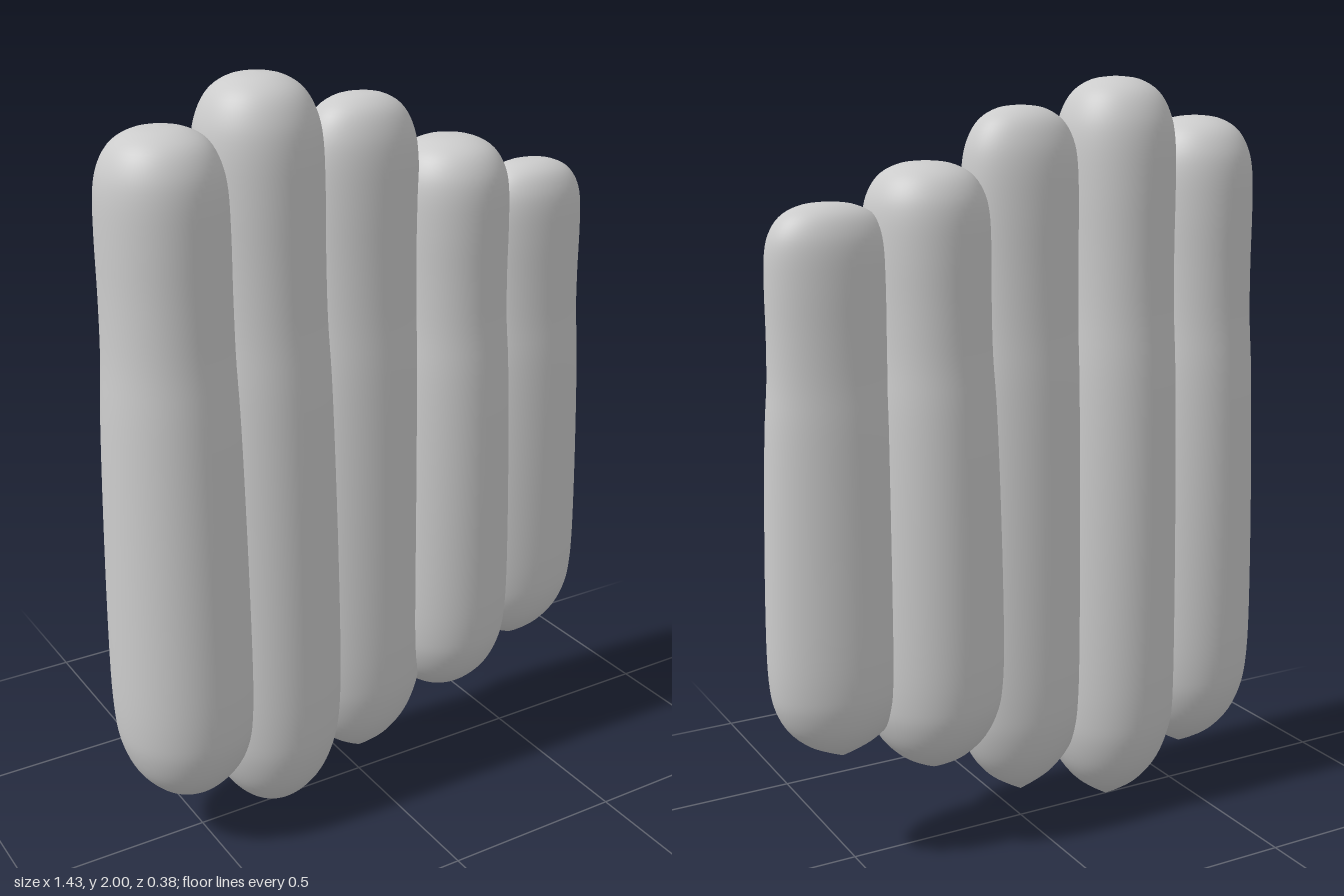
import * as THREE from 'three';

// Shared column outline: radius and fraction of the height, bottom tip to rounded top
const PROFILE = [
  [0, 0], [0.05, 0.016], [0.1, 0.036], [0.145, 0.067], [0.174, 0.107], [0.186, 0.15],
  [0.19, 0.22], [0.187, 0.35], [0.18, 0.5], [0.172, 0.62], [0.163, 0.7], [0.16, 0.78],
  [0.16, 0.86], [0.156, 0.92], [0.141, 0.955], [0.11, 0.981], [0.06, 0.996], [0, 1],
];

// Centre x, bottom y, top y, depth relative to width
const COLUMNS = [
  { name: 'outerRightColumn', x: -0.53, bottom: 0.11, top: 1.9, depth: 1 },
  { name: 'tallestColumn', x: -0.28, bottom: 0, top: 2, depth: 1 },
  { name: 'middleColumn', x: 0, bottom: 0.08, top: 1.93, depth: 0.73 },
  { name: 'innerLeftColumn', x: 0.265, bottom: 0.205, top: 1.8, depth: 1 },
  { name: 'outerLeftColumn', x: 0.525, bottom: 0.295, top: 1.71, depth: 0.65 },
];

function makeColumn({ name, x, bottom, top, depth }, material) {
  const height = top - bottom;
  const curve = new THREE.SplineCurve(PROFILE.map(([r, t]) => new THREE.Vector2(r, t * height)));
  const points = curve.getPoints(68);
  points[0].x = points[points.length - 1].x = 0;
  const column = new THREE.Mesh(new THREE.LatheGeometry(points, 64), material);
  column.name = name;
  column.position.set(x, bottom, 0);
  column.scale.z = depth;
  return column;
}

export function createModel() {
  const model = new THREE.Group();
  model.name = 'columnRow';
  const material = new THREE.MeshStandardMaterial({ color: 0xcccccc });
  for (const spec of COLUMNS) model.add(makeColumn(spec, material));
  return model;
}
